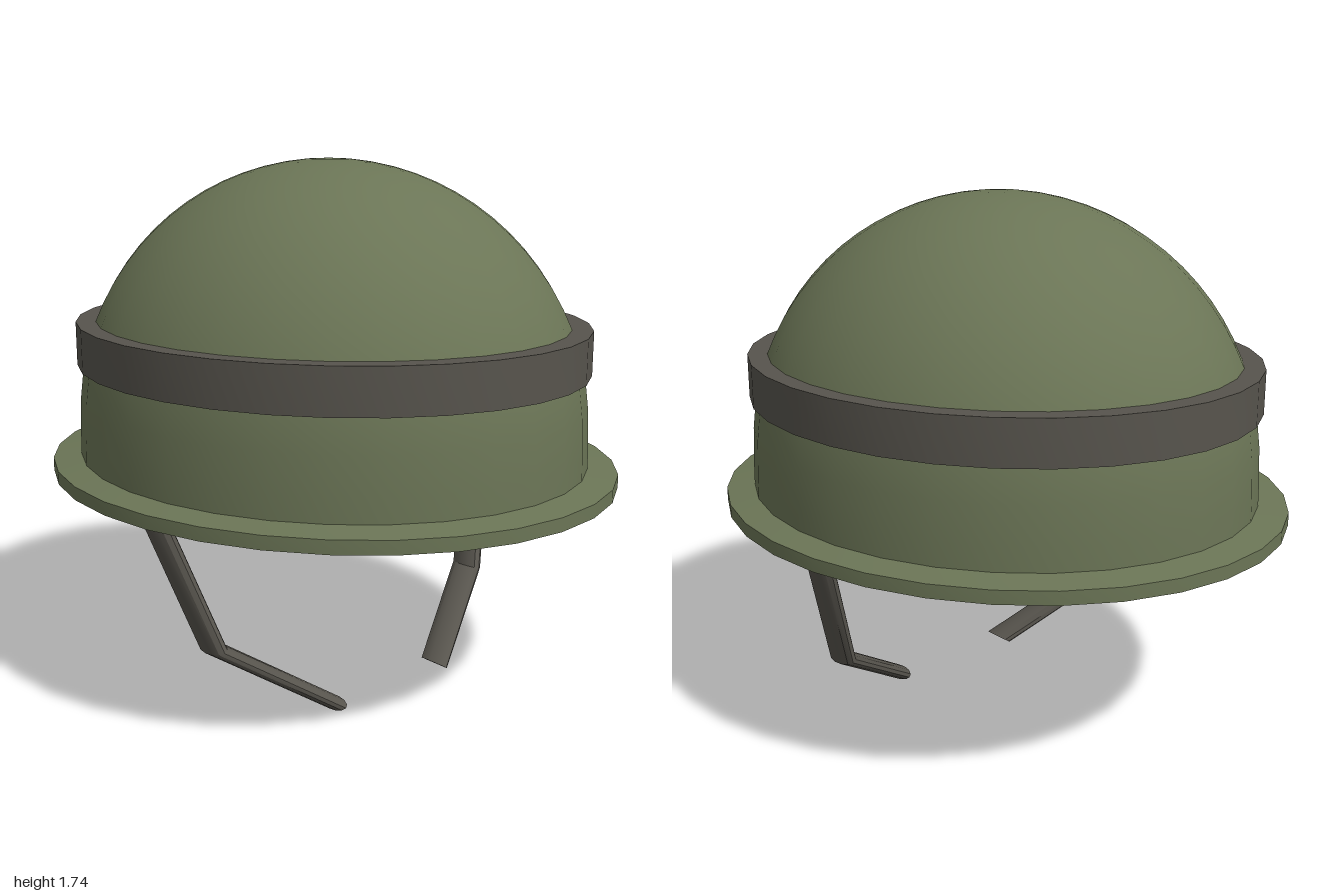
import * as THREE from 'three';
import { toCreasedNormals } from 'three/addons/utils/BufferGeometryUtils.js';

const DEPTH = 0.89; // the helmet is an oval: z radius / x radius
const SIDES = 32;

const olive = new THREE.MeshStandardMaterial({ name: 'olive green', color: 0x6b7556 });
const webbing = new THREE.MeshStandardMaterial({ name: 'dark grey webbing', color: 0x57544d });

// Oval body turned from [radius, height] points
function ovalLathe(name, profile, material, crease) {
  const points = profile.map(([r, y]) => new THREE.Vector2(r, y));
  const geometry = new THREE.LatheGeometry(points, SIDES);
  geometry.scale(1, 1, DEPTH);
  const mesh = new THREE.Mesh(toCreasedNormals(geometry, crease), material);
  mesh.name = name;
  return mesh;
}

// Flattened round strap through three cross-sections; side is +1 front, -1 back
function chinStrap(name, side) {
  // centre [x, y, z], half width along x, half thickness [y, z]
  const sections = [
    { c: [0.002, 0.75, 0.75], w: 0.06, t: [0, 0.035] },
    { c: [0.115, 0.25, 0.587], w: 0.06, t: [-0.008, 0.032] },
    { c: [0.29, 0.016, 0.235], w: 0.058, t: [-0.014, 0.022] },
  ];
  const n = 12;
  const at = ({ c, w, t }, k) => {
    const a = (side * k * Math.PI * 2) / n;
    return [
      c[0] + w * Math.cos(a),
      c[1] + t[0] * Math.sin(a),
      side * (c[2] + t[1] * Math.sin(a)),
    ];
  };
  const positions = [];
  for (let k = 0; k < n; k++) {
    for (let i = 0; i < 2; i++) {
      const a = at(sections[i], k), b = at(sections[i], k + 1);
      const c = at(sections[i + 1], k), d = at(sections[i + 1], k + 1);
      positions.push(...a, ...b, ...c, ...b, ...d, ...c);
    }
    // closed lower end
    const end = sections[2];
    positions.push(end.c[0], end.c[1], side * end.c[2], ...at(end, k), ...at(end, k + 1));
  }
  const geometry = new THREE.BufferGeometry();
  geometry.setAttribute('position', new THREE.Float32BufferAttribute(positions, 3));
  const mesh = new THREE.Mesh(toCreasedNormals(geometry, 0.6), webbing);
  mesh.name = name;
  return mesh;
}

export function createModel() {
  const group = new THREE.Group();
  group.name = 'helmet';

  // Shell: slightly tapered wall running into an elliptical dome
  const shell = [[0.9, 0.75], [0.898, 0.85], [0.892, 0.97]];
  const steps = 16, start = 0.225;
  for (let i = 0; i <= steps; i++) {
    const a = start + (Math.PI / 2 - start) * (i / steps);
    shell.push([i === steps ? 0 : 0.9 * Math.cos(a), 0.889 + 0.856 * Math.sin(a)]);
  }
  group.add(ovalLathe('shell', shell, olive, 0.7));

  // Brim: thin closed disc with a gently sloping top
  group.add(ovalLathe('brim', [[0, 0.72], [1, 0.72], [1, 0.763], [0.88, 0.778]], olive, 0.5));

  // Band: standing proud of the shell with flat upper and lower edges
  group.add(ovalLathe('band', [[0.82, 1.077], [0.9, 1.077], [0.9, 1.22], [0.82, 1.22]], webbing, 0.5));

  // Chin straps at front and back
  group.add(chinStrap('frontChinStrap', 1), chinStrap('backChinStrap', -1));
  return group;
}
